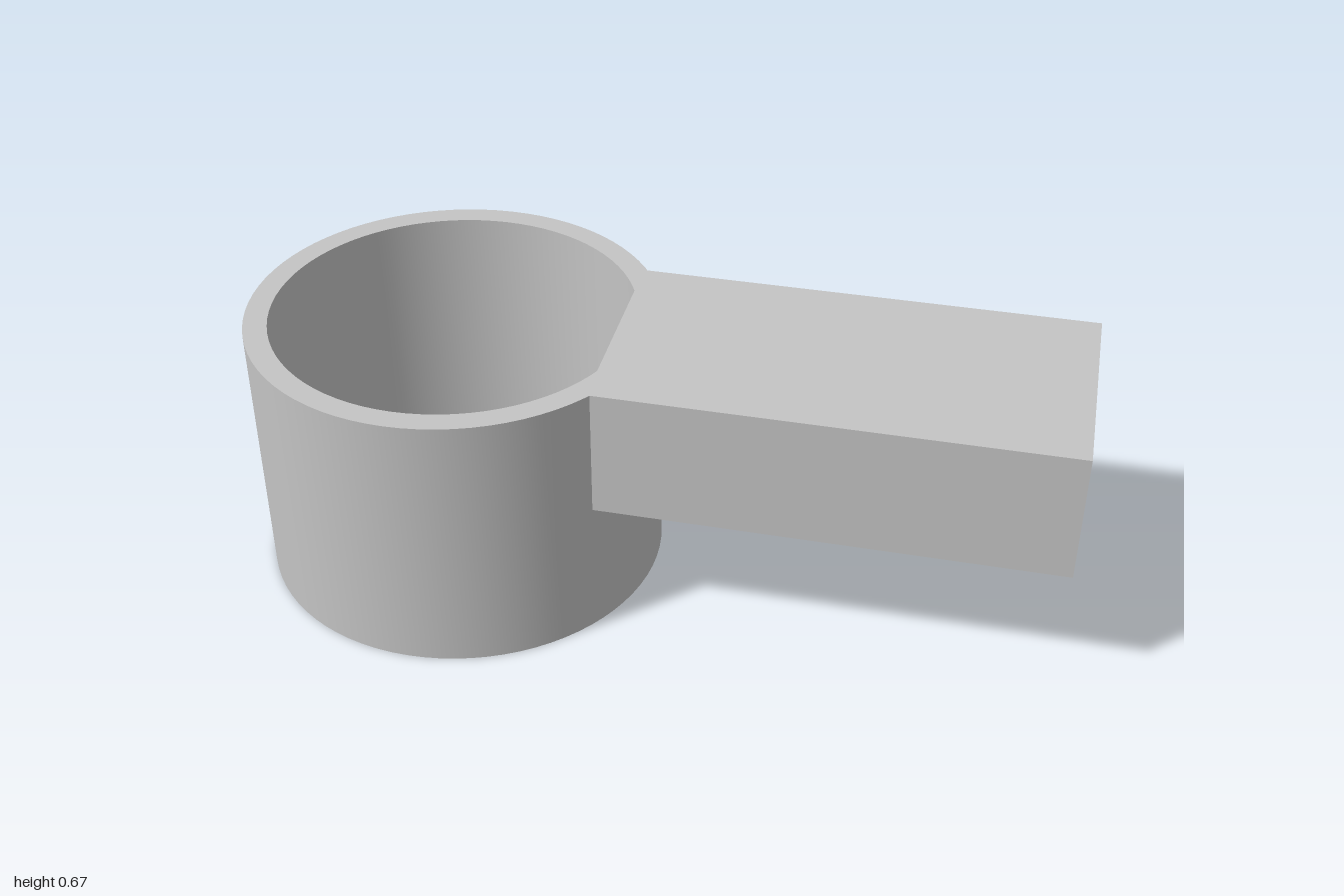
import * as THREE from 'three';
import { toCreasedNormals } from 'three/addons/utils/BufferGeometryUtils.js';

export function createModel() {
  const model = new THREE.Group();
  model.name = 'handledCup';

  const grey = new THREE.MeshStandardMaterial({ color: 0xc4c4c4 });
  grey.name = 'grey';

  const height = 0.665, outer = 0.495, inner = 0.438, floor = 0.06;

  // Hollow round cup: outside wall, rim, inside wall and floor
  const profile = [
    [0, 0], [outer, 0], [outer, height], [inner, height], [inner, floor], [0, floor],
  ].map(([x, y]) => new THREE.Vector2(x, y));
  const cup = new THREE.Mesh(
    toCreasedNormals(new THREE.LatheGeometry(profile, 80), Math.PI / 6), grey);
  cup.name = 'cup';
  cup.position.x = -1 + outer;
  model.add(cup);

  // Straight block handle, flush with the rim, its end showing inside the cup
  const start = -0.106, end = 1, bottom = 0.345;
  const handle = new THREE.Mesh(
    new THREE.BoxGeometry(end - start, height - bottom, 0.562), grey);
  handle.name = 'handle';
  handle.position.set((start + end) / 2, (bottom + height) / 2, 0);
  model.add(handle);

  return model;
}
